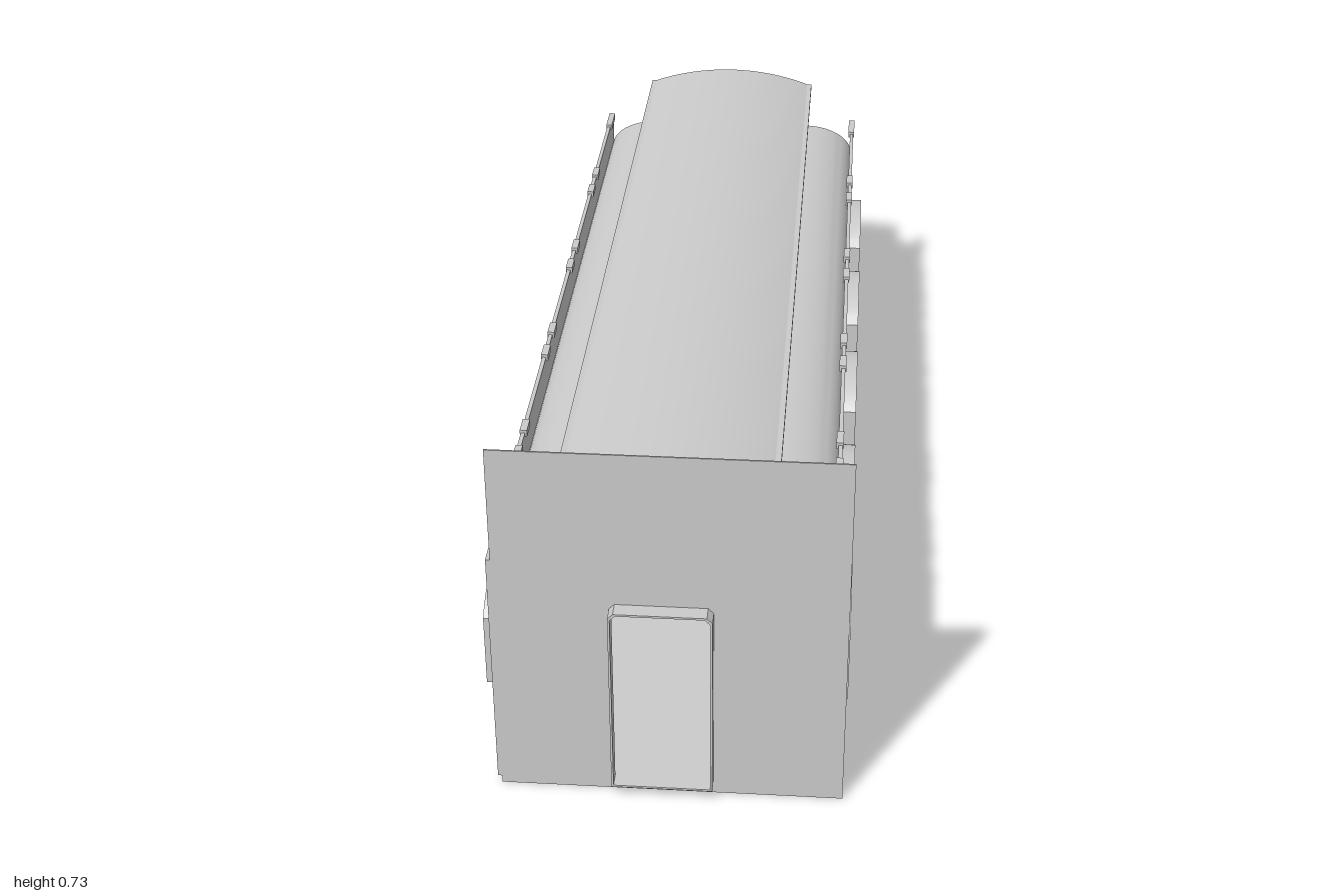
import * as THREE from 'three';
import { toCreasedNormals } from 'three/addons/utils/BufferGeometryUtils.js';

const BACK = -1, FRONT = 0.97, LEN = FRONT - BACK, MID = (FRONT + BACK) / 2;
const WALL = 0.309, THICK = 0.008;
const WINDOWS = [-0.79, -0.4, -0.015, 0.375, 0.765];

export function createModel() {
  const root = new THREE.Group();
  const mat = new THREE.MeshStandardMaterial({ color: 0xcccccc, side: THREE.DoubleSide });

  const add = (name, geo, x = 0, y = 0, z = 0, parent = root) => {
    const m = new THREE.Mesh(geo, mat);
    m.name = name;
    m.position.set(x, y, z);
    parent.add(m);
    return m;
  };
  const box = (name, w, h, d, x, y, z, parent) => add(name, new THREE.BoxGeometry(w, h, d), x, y, z, parent);
  const extrude = (shape, depth) => toCreasedNormals(
    new THREE.ExtrudeGeometry(shape, { depth, bevelEnabled: false, curveSegments: 12 }), 0.5);

  const rect = (P, x0, y0, x1, y1) => {
    const p = new P();
    p.moveTo(x0, y0); p.lineTo(x1, y0); p.lineTo(x1, y1); p.lineTo(x0, y1); p.closePath();
    return p;
  };
  // Window outline with a shallow arched head
  const arch = (P, c, half, base, shoulder, apex) => {
    const p = new P();
    p.moveTo(c - half, base);
    p.lineTo(c + half, base);
    p.lineTo(c + half, shoulder);
    p.quadraticCurveTo(c + half * 0.7, apex, c, apex);
    p.quadraticCurveTo(c - half * 0.7, apex, c - half, shoulder);
    p.closePath();
    return p;
  };
  // Door outline with chamfered top corners
  const door = (P, half, base, top) => {
    const p = new P(), c = 0.01;
    p.moveTo(-half, base);
    p.lineTo(half, base);
    p.lineTo(half, top - c);
    p.lineTo(half - c, top);
    p.lineTo(-half + c, top);
    p.lineTo(-half, top - c);
    p.closePath();
    return p;
  };
  // Extrudes a (z, y) shape across a side wall, between two distances from the centre
  const sidePiece = (name, shape, s, inner, outer, parent) => {
    const g = extrude(shape, outer - inner);
    g.rotateY(-Math.PI / 2);
    return add(name, g, s > 0 ? outer : -inner, 0, 0, parent);
  };
  // Thin curved roof sheet running the length of the carriage
  const roofSheet = (name, fn, n, thick) => {
    const top = [], low = [];
    for (let i = 0; i <= n; i++) {
      const [x, y] = fn(i / n);
      top.push(new THREE.Vector2(x, y));
      low.unshift(new THREE.Vector2(x, y - thick));
    }
    add(name, extrude(new THREE.Shape([...top, ...low]), LEN), 0, 0, BACK);
  };
  // Pleated cloth, gathered at the top and spreading downwards
  const curtainGeometry = () => {
    const g = new THREE.PlaneGeometry(1, 0.285, 24, 6);
    const p = g.attributes.position;
    for (let i = 0; i < p.count; i++) {
      const u = p.getX(i), t = 0.5 - p.getY(i) / 0.285;
      p.setXYZ(i, u * (0.048 + 0.022 * t), p.getY(i), Math.sin(u * Math.PI * 8) * (0.004 + 0.003 * t));
    }
    g.rotateY(Math.PI / 2);
    g.computeVertexNormals();
    return g;
  };
  const curtain = curtainGeometry();

  // Floor
  box('floor', 2 * WALL - 0.01, 0.01, LEN, 0, 0.025, MID);

  // Front end wall with doorway
  const end = rect(THREE.Shape, -0.301, 0, 0.332, 0.73);
  end.holes.push(door(THREE.Path, 0.09, 0.03, 0.416));
  add('frontEndWall', extrude(end, 0.003), 0, 0, FRONT - 0.003);
  const lining = door(THREE.Shape, 0.093, 0.027, 0.419);
  lining.holes.push(door(THREE.Path, 0.089, 0.031, 0.415));
  add('doorLining', extrude(lining, 1 - FRONT), 0, 0, FRONT);
  for (const s of [-1, 1]) {
    box('doorFoot', 0.008, 0.022, 0.012, s * 0.096, 0.041, FRONT - 0.01);
    box('endWallBracket', 0.03, 0.04, 0.012, s * 0.1, 0.64, FRONT - 0.008);
  }

  // Both sides, built symmetrically
  for (const s of [-1, 1]) {
    const side = new THREE.Group();
    side.name = s > 0 ? 'leftSide' : 'rightSide';
    root.add(side);

    const wall = rect(THREE.Shape, BACK, 0.015, FRONT, 0.503);
    for (const c of WINDOWS) wall.holes.push(arch(THREE.Path, c, 0.105, 0.19, 0.312, 0.347));
    sidePiece('sideWall', wall, s, WALL - THICK, WALL, side);

    box('skirting', 0.01, 0.035, LEN, s * 0.297, 0.045, MID, side);
    box('dadoRail', 0.01, 0.012, LEN, s * 0.297, 0.165, MID, side);
    box('curtainRail', 0.008, 0.008, LEN, s * 0.29, 0.412, MID, side);

    for (const c of WINDOWS) {
      // Outer surround and recessed sash
      const frame = arch(THREE.Shape, c, 0.126, 0.17, 0.316, 0.36);
      frame.holes.push(arch(THREE.Path, c, 0.104, 0.19, 0.312, 0.347));
      sidePiece('windowSurround', frame, s, WALL - 0.012, 0.335, side);
      const sash = arch(THREE.Shape, c, 0.105, 0.189, 0.313, 0.348);
      sash.holes.push(arch(THREE.Path, c, 0.086, 0.198, 0.308, 0.34));
      sidePiece('windowSash', sash, s, 0.301, 0.315, side);
      box('windowTransom', 0.008, 0.007, 0.18, s * 0.308, 0.31, c, side);

      for (const e of [-1, 1]) {
        add('curtain', curtain, s * 0.286, 0.268, c + e * 0.095, side);
      }
      // Panel moulding under the window
      const panel = rect(THREE.Shape, c - 0.125, 0.075, c + 0.125, 0.15);
      panel.holes.push(rect(THREE.Path, c - 0.113, 0.087, c + 0.113, 0.138));
      sidePiece('dadoPanel', panel, s, 0.296, 0.302, side);
    }

    // Small blocks along the top of the wall
    for (const z of [0.62, 0.525, 0.23, 0.135, -0.16, -0.255, -0.55, -0.645, -0.96]) {
      box('wallTopBlock', 0.014, 0.014, z < -0.9 ? 0.075 : 0.042, s * 0.304, 0.502, z, side);
    }

    // Lower side roof, clerestory wall and eave
    roofSheet('sideRoof', t => {
      const a = t * Math.PI / 2;
      return [s * (0.188 + 0.116 * Math.sin(a)), 0.42 + 0.07 * Math.cos(a)];
    }, 14, 0.004);
    box('clerestoryWall', 0.005, 0.125, LEN, s * 0.186, 0.535, MID, side);
    box('clerestoryEave', 0.018, 0.012, LEN, s * 0.191, 0.596, MID, side);
  }

  // Arched clerestory roof
  const R = (0.2 ** 2 + 0.038 ** 2) / (2 * 0.038), A = Math.asin(0.2 / R);
  roofSheet('clerestoryRoof', t => {
    const a = (t * 2 - 1) * A;
    return [R * Math.sin(a), 0.636 - R + R * Math.cos(a)];
  }, 24, 0.004);

  return root;
}
